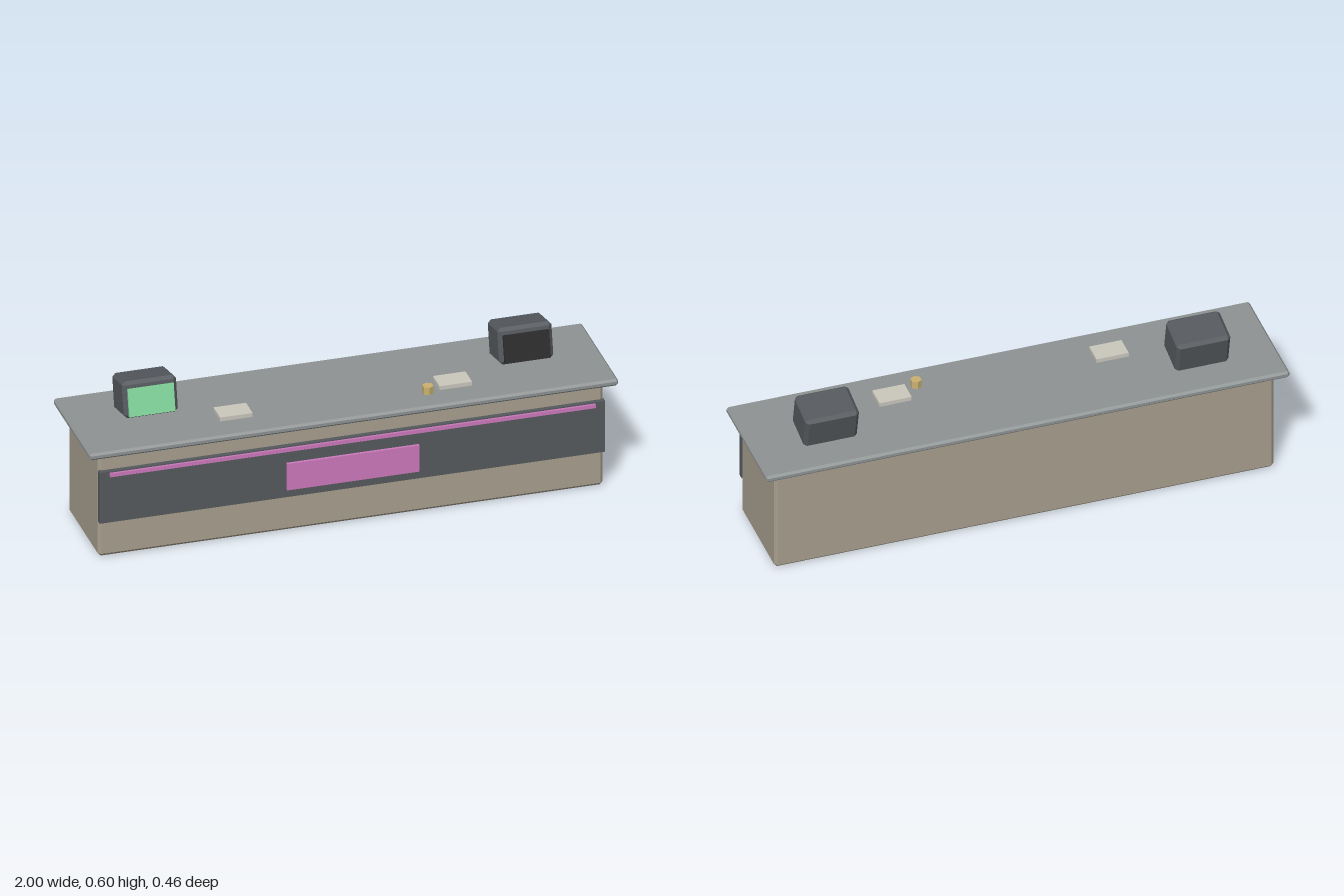
import * as THREE from 'three';
import { ConvexGeometry } from 'three/addons/geometries/ConvexGeometry.js';

const material = (name, color) => {
  const m = new THREE.MeshStandardMaterial({ color });
  m.name = name;
  return m;
};

// Box whose edges are all cut by a flat chamfer c
function chamferBox(w, h, d, c) {
  const points = [];
  for (const sx of [-1, 1]) for (const sy of [-1, 1]) for (const sz of [-1, 1]) {
    for (let axis = 0; axis < 3; axis++) {
      const half = [w / 2, h / 2, d / 2].map((v, i) => (i === axis ? v : v - c));
      points.push(new THREE.Vector3(sx * half[0], sy * half[1], sz * half[2]));
    }
  }
  return new ConvexGeometry(points);
}

export function createModel() {
  const model = new THREE.Group();
  model.name = 'receptionCounter';

  const beige = material('warm beige', 0xa69e8e);
  const grey = material('counter grey', 0x8d9292);
  const dark = material('dark grey', 0x55595d);
  const pink = material('pink', 0xcd78bc);
  const green = material('screen green', 0x82d89c);
  const black = material('screen black', 0x2c2c2d);
  const pale = material('pale grey', 0xc9c6bc);
  const gold = material('gold', 0xc9b070);

  const add = (parent, name, geometry, mat, x, y, z) => {
    const mesh = new THREE.Mesh(geometry, mat);
    mesh.name = name;
    mesh.position.set(x, y, z);
    parent.add(mesh);
    return mesh;
  };
  const box = (w, h, d) => new THREE.BoxGeometry(w, h, d);

  // Counter body and worktop
  add(model, 'body', chamferBox(1.91, 0.418, 0.374, 0.012), beige, 0, 0.209, 0);
  add(model, 'worktop', chamferBox(2, 0.027, 0.46, 0.008), grey, 0, 0.4355, 0);

  // Front band with its trim strip and plain plaque
  add(model, 'frontPanel', box(1.912, 0.208, 0.022), dark, 0, 0.251, 0.194);
  add(model, 'trimStrip', box(1.836, 0.015, 0.009), pink, 0, 0.343, 0.2085);
  add(model, 'plaque', box(0.5, 0.108, 0.013), pink, 0, 0.234, 0.2095);

  // Two tilted monitors, one lit and one off, each with a keyboard
  for (const [side, screenMat] of [[-1, green], [1, black]]) {
    const monitor = new THREE.Group();
    monitor.name = side < 0 ? 'rightMonitor' : 'leftMonitor';
    monitor.position.set(side * 0.71, 0.524, -0.04);
    monitor.rotation.x = -0.21;
    model.add(monitor);
    add(monitor, 'casing', chamferBox(0.205, 0.139, 0.145, 0.0125), dark, 0, 0, 0);
    add(monitor, 'screen', box(0.174, 0.105, 0.0099), screenMat, 0, -0.009, 0.077);
    add(model, 'keyboard', box(0.123, 0.016, 0.083), pale, side * 0.415, 0.46, 0.0845);
  }

  // Small cup beside the left keyboard
  const cup = new THREE.CylinderGeometry(0.021, 0.021, 0.03, 6).toNonIndexed();
  cup.computeVertexNormals();
  add(model, 'cup', cup, gold, 0.309, 0.464, 0.126);

  return model;
}
